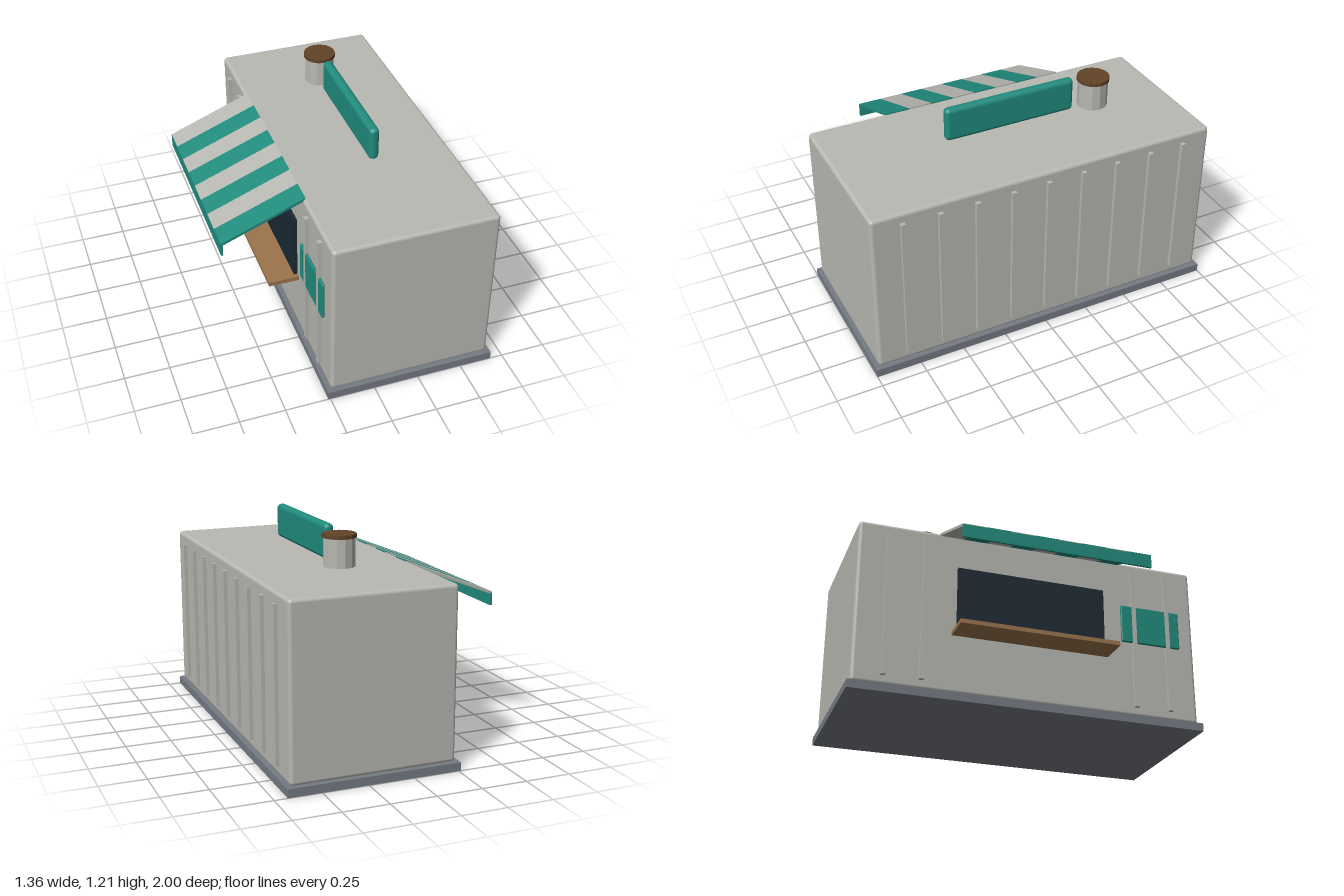
import * as THREE from 'three';
import { RoundedBoxGeometry } from 'three/addons/geometries/RoundedBoxGeometry.js';

const paint = (name, color, extra = {}) => {
  const m = new THREE.MeshStandardMaterial({ color, ...extra });
  m.name = name;
  return m;
};

export function createModel() {
  const grey = paint('pale grey', 0xb9b9b3);
  const greyFacet = grey.clone();
  greyFacet.flatShading = true;
  const slate = paint('slate', 0x767b84);
  const teal = paint('teal', 0x218c7e);
  const wood = paint('wood', 0x9c744c);
  const brown = paint('dark brown', 0x624428, { flatShading: true });
  const dark = paint('dark opening', 0x1b2a32);

  const model = new THREE.Group();
  model.name = 'kiosk';

  const add = (name, geometry, material, parent = model) => {
    const mesh = new THREE.Mesh(geometry, material);
    mesh.name = name;
    parent.add(mesh);
    return mesh;
  };
  // Box given by its limits on each axis; a radius rounds its edges
  const box = (name, mat, [x0, x1], [y0, y1], [z0, z1], radius = 0, parent = model) => {
    const s = [x1 - x0, y1 - y0, z1 - z0];
    const g = radius ? new RoundedBoxGeometry(...s, 3, radius) : new THREE.BoxGeometry(...s);
    const mesh = add(name, g, mat, parent);
    mesh.position.set((x0 + x1) / 2, (y0 + y1) / 2, (z0 + z1) / 2);
    return mesh;
  };

  // Base slab and cabin
  box('base', slate, [-0.262, 0.68], [0, 0.046], [-1, 1]);
  box('cabin', grey, [-0.24, 0.66], [0.046, 0.981], [-0.98, 0.98], 0.02);

  // Wall ribs: a full row on one side, a gap for the hatch on the other
  const ribs = new THREE.Group();
  ribs.name = 'wallRibs';
  model.add(ribs);
  for (let i = -4; i <= 4; i++) {
    const z = i * 0.203;
    const span = [z - 0.013, z + 0.013];
    box('leftRib', grey, [0.65, 0.68], [0.098, 0.927], span, 0, ribs);
    if (Math.abs(i) > 2) box('rightRib', grey, [-0.262, -0.23], [0.098, 0.927], span, 0, ribs);
  }

  // Serving hatch, counter and menu board
  box('servingHatch', dark, [-0.26, -0.23], [0.4, 0.775], [-0.425, 0.425]);
  box('counter', wood, [-0.41, -0.235], [0.376, 0.4], [-0.45, 0.45]);
  box('menuBoard', teal, [-0.261, -0.245], [0.478, 0.7], [0.53, 0.885], 0.006);

  // Striped sloping awning with a hanging valance
  const awning = new THREE.Group();
  awning.name = 'awning';
  model.add(awning);
  const slope = new THREE.Shape([
    [-0.225, 0.987], [-0.682, 0.805], [-0.682, 0.789], [-0.225, 0.971],
  ].map(p => new THREE.Vector2(...p)));
  const stripes = 8, width = 1.054 / stripes;
  for (let i = 0; i < stripes; i++) {
    const g = new THREE.ExtrudeGeometry(slope, { depth: width, bevelEnabled: false });
    add('awningStripe', g, i % 2 ? teal : grey, awning).position.z = -0.527 + i * width;
  }
  box('valance', teal, [-0.684, -0.672], [0.728, 0.8], [-0.527, 0.527], 0, awning);

  // Roof sign and vent
  box('roofSign', teal, [0.182, 0.237], [1.022, 1.212], [-0.377, 0.377], 0.024);
  add('ventPipe', new THREE.CylinderGeometry(0.083, 0.083, 0.152, 12), greyFacet)
    .position.set(0.21, 1.091, -0.51);
  add('ventCap', new THREE.CylinderGeometry(0.09, 0.09, 0.02, 16), brown)
    .position.set(0.21, 1.177, -0.51);

  return model;
}
